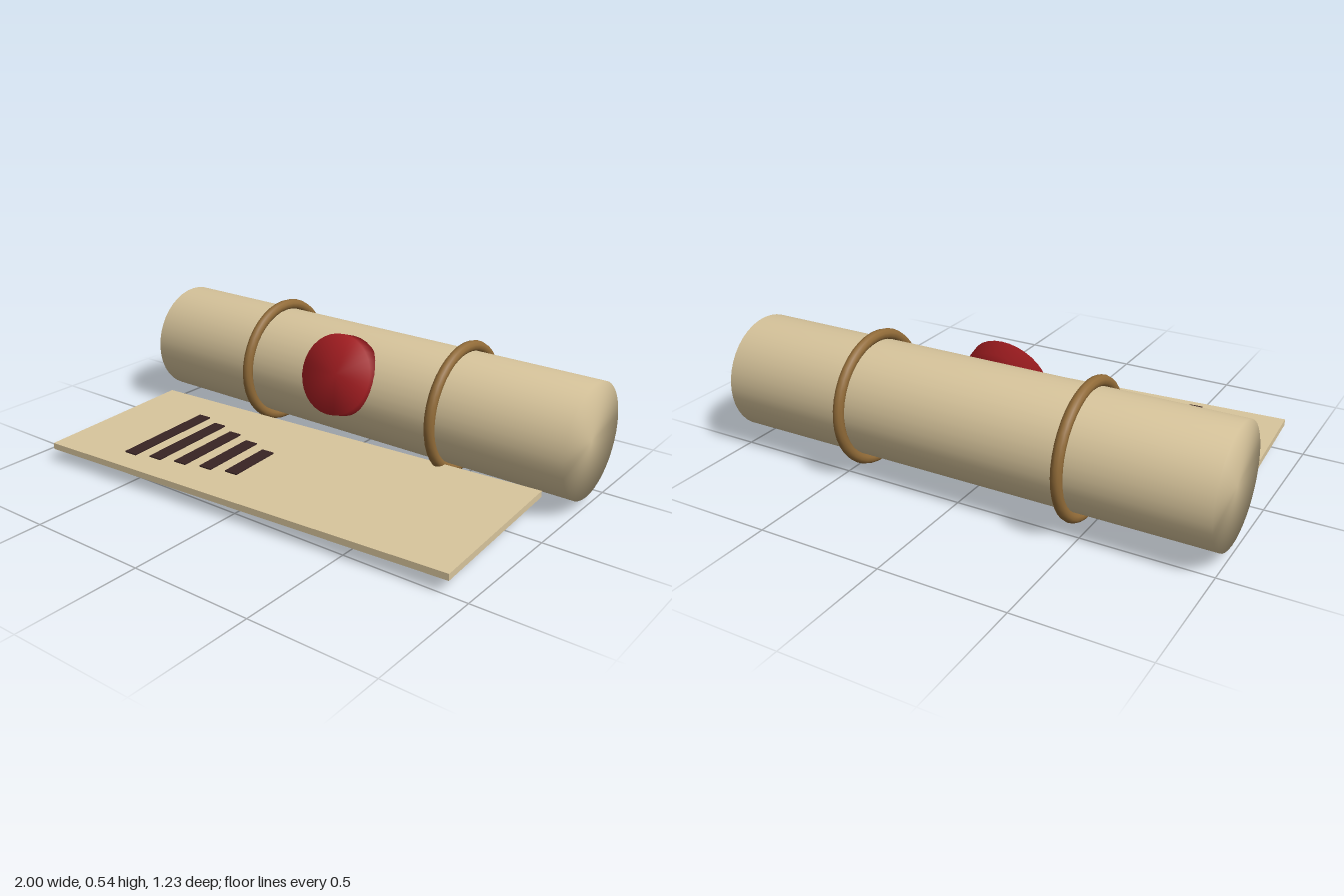
import * as THREE from 'three';
import { mergeVertices } from 'three/addons/utils/BufferGeometryUtils.js';

const material = (name, color) => {
  const m = new THREE.MeshStandardMaterial({ color });
  m.name = name;
  return m;
};

// Cylinder whose normals blend softly over the rims
function softCylinder(radius, length, sides) {
  const g = new THREE.CylinderGeometry(radius, radius, length, sides);
  g.deleteAttribute('normal');
  g.deleteAttribute('uv');
  const merged = mergeVertices(g, 1e-4);
  merged.computeVertexNormals();
  return merged;
}

export function createModel() {
  const group = new THREE.Group();
  const parchment = material('parchment', 0xd8c59c);
  const bronze = material('bronze', 0x916b38);
  const wax = material('red wax', 0xa61e22);
  const ink = material('dark ink', 0x382424);

  const add = (name, geometry, mat, x, y, z) => {
    const mesh = new THREE.Mesh(geometry, mat);
    mesh.name = name;
    mesh.position.set(x, y, z);
    group.add(mesh);
    return mesh;
  };

  const rollY = 0.27, rollZ = -0.347, turn = 0.06;

  // Rolled scroll lying along x
  add('scrollRoll', softCylinder(0.228, 2, 40), parchment, 0, rollY, rollZ).rotation.z = Math.PI / 2;

  // Two binding rings
  const ring = new THREE.TorusGeometry(0.247, 0.0215, 10, 40);
  for (const side of [-1, 1]) {
    add(side < 0 ? 'rightRing' : 'leftRing', ring, bronze, side * 0.455, rollY, rollZ).rotation.y = Math.PI / 2;
  }

  // Wax seal tilted upwards on the front of the roll
  const tilt = THREE.MathUtils.degToRad(20), depth = 0.075;
  add('waxSeal', softCylinder(0.164, depth, 32), wax, 0,
    0.371 - Math.sin(tilt) * depth / 2, -0.1135 - Math.cos(tilt) * depth / 2).rotation.x = Math.PI / 2 - tilt;

  // Loose sheet, turned slightly
  add('sheet', new THREE.BoxGeometry(1.813, 0.026, 0.72), parchment, -0.002, 0.07, 0.196).rotation.y = turn;

  // Ink strokes of shrinking length, hovering over the sheet
  for (let i = 0; i < 5; i++) {
    const stroke = new THREE.BoxGeometry(0.055, 0.005, 0.456 - 0.055 * i);
    add('inkStroke' + (i + 1), stroke, ink, -0.548 + 0.1095 * i, 0.102, 0.287).rotation.y = turn;
  }
  return group;
}
